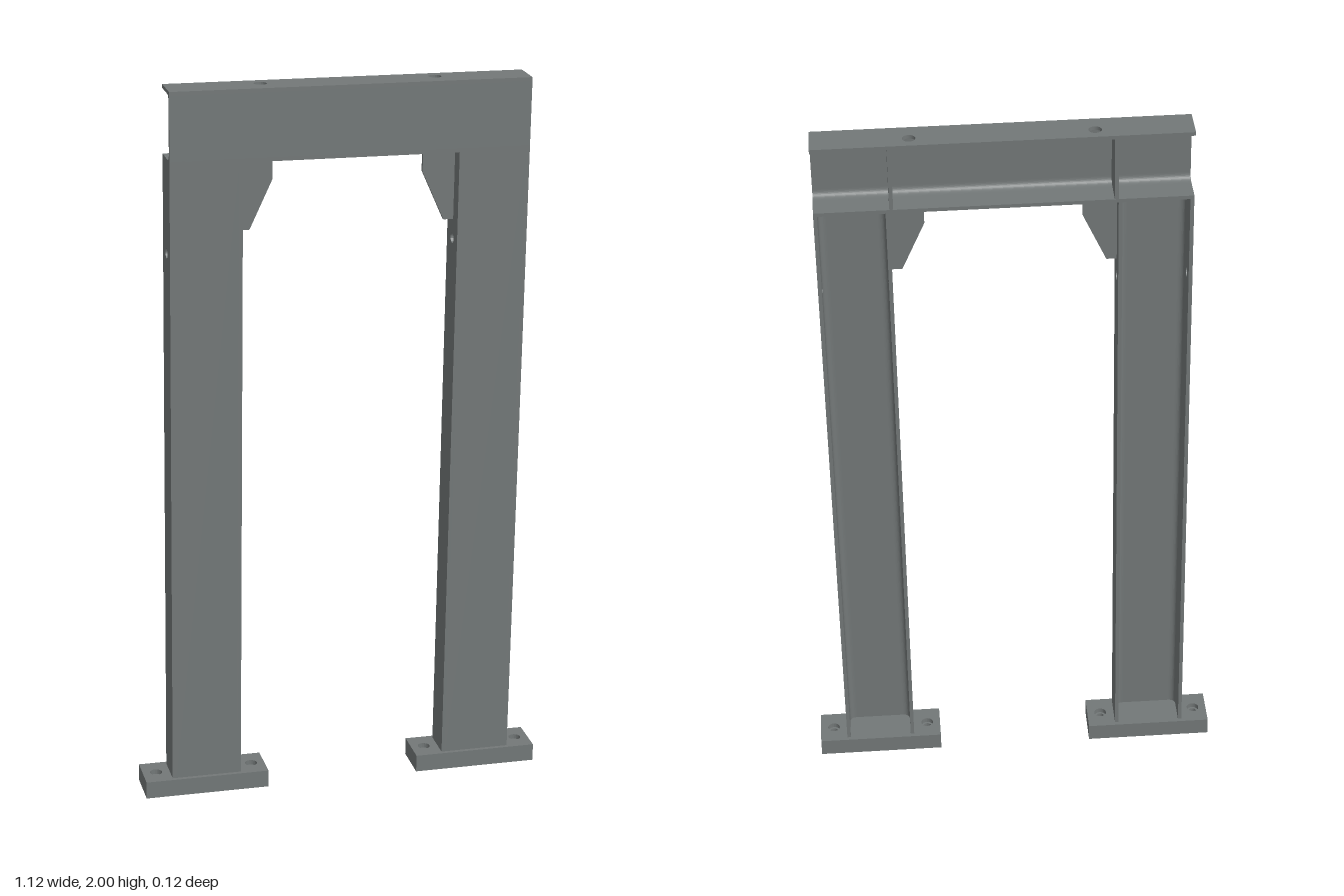
import * as THREE from 'three';

const steel = new THREE.MeshStandardMaterial({ color: 0x737878 });
steel.name = 'grey steel';

const W = 0.193;   // channel width
const D = 0.094;   // channel depth
const WEB = 0.008; // web thickness
const T = 0.01;    // flange thickness
const R = 0.02;    // inner fillet radius

function mesh(name, geometry) {
  const m = new THREE.Mesh(geometry, steel);
  m.name = name;
  return m;
}

function extrude(shape, depth) {
  return new THREE.ExtrudeGeometry(shape, { depth, bevelEnabled: false, curveSegments: 10 });
}

function rect(x0, y0, x1, y1) {
  return new THREE.Shape([
    new THREE.Vector2(x0, y0), new THREE.Vector2(x1, y0),
    new THREE.Vector2(x1, y1), new THREE.Vector2(x0, y1)]);
}

function addHole(shape, x, y, r) {
  shape.holes.push(new THREE.Path().absarc(x, y, r, 0, Math.PI * 2, true));
}

// Plate whose outline lies in (z, y); its thickness runs from x to x - t
function sidePlate(shape, x, t) {
  return extrude(shape, t).rotateY(-Math.PI / 2).translate(x, 0, 0);
}

// C-section running along y from 0 to length, web at the front.
// Each hole is [side, y, z, radius], side being -1 or 1.
function channel(name, length, holes) {
  const g = new THREE.Group();
  g.name = name;
  g.add(mesh('web', new THREE.BoxGeometry(W - 2 * T, length, WEB)
    .translate(0, length / 2, D / 2 - WEB / 2)));
  for (const s of [-1, 1]) {
    const flange = rect(-D / 2, 0, D / 2, length);
    for (const [side, y, z, r] of holes) if (side === s) addHole(flange, z, y, r);
    g.add(mesh('flange', sidePlate(flange, s > 0 ? W / 2 : -W / 2 + T, T)));

    // rounded root between web and flange
    const cx = s * (W / 2 - T), cy = WEB - D / 2;
    const root = new THREE.Shape();
    root.moveTo(cx, cy);
    root.lineTo(cx - s * R, cy);
    root.quadraticCurveTo(cx, cy, cx, cy + R);
    root.closePath();
    g.add(mesh('fillet', extrude(root, length).rotateX(-Math.PI / 2)));
  }
  return g;
}

// Foot plate with two stepped bolt holes
function footPlate() {
  const g = new THREE.Group();
  g.name = 'footPlate';
  for (const [y, h, r] of [[0, 0.035, 0.011], [0.035, 0.0138, 0.017]]) {
    const s = rect(-0.1725, -0.058, 0.1725, 0.058);
    for (const x of [-0.135, 0.135]) addHole(s, x, 0, r);
    g.add(mesh('footLayer', extrude(s, h).rotateX(-Math.PI / 2).translate(0, y, 0)));
  }
  return g;
}

// Corner gusset, outline from the inner corner of leg and beam
function gusset(side) {
  const pts = [[0.012, 0], [0.088, 0], [0.088, -0.058], [0.027, -0.192], [0, -0.192], [0, -0.012]];
  const s = new THREE.Shape(pts.map(([x, y]) => new THREE.Vector2(-side * x, y)));
  return mesh('gusset', extrude(s, 0.01).translate(side * 0.291, 1.8, -0.005));
}

// Stiffener inside the beam, corners rounded to clear the fillets
function stiffener(side) {
  const y0 = 1.8 + T, y1 = 1.993 - T, z0 = -D / 2 + 0.001, z1 = D / 2 - WEB;
  const s = new THREE.Shape();
  s.moveTo(z0, y0);
  s.lineTo(z1 - R, y0);
  s.quadraticCurveTo(z1, y0, z1, y0 + R);
  s.lineTo(z1, y1 - R);
  s.quadraticCurveTo(z1, y1, z1 - R, y1);
  s.lineTo(z0, y1);
  s.closePath();
  return mesh('stiffener', sidePlate(s, side * 0.286 + T / 2, T));
}

export function createModel() {
  const model = new THREE.Group();
  model.name = 'portalFrame';
  const frame = new THREE.Group();
  frame.name = 'frame';
  frame.rotation.z = -0.0155; // whole frame leans slightly
  model.add(frame);

  // top beam, laid on its side
  const beam = channel('beam', 0.968,
    [[-1, 0.25, -0.01, 0.017], [-1, 0.718, -0.01, 0.017]]);
  beam.rotation.z = -Math.PI / 2;
  beam.position.set(-0.484, 1.8965, 0);
  frame.add(beam);

  for (const side of [-1, 1]) {
    const leg = channel('leg', 1.8 - 0.0575,
      [[-1, 1.497, 0, 0.014], [1, 1.497, 0, 0.014]]);
    leg.position.set(side * 0.3875, 0.0575, 0);
    const foot = footPlate();
    foot.position.set(side * 0.387, 0.0087, 0);
    frame.add(leg, foot, gusset(side), stiffener(side));
  }
  return model;
}
